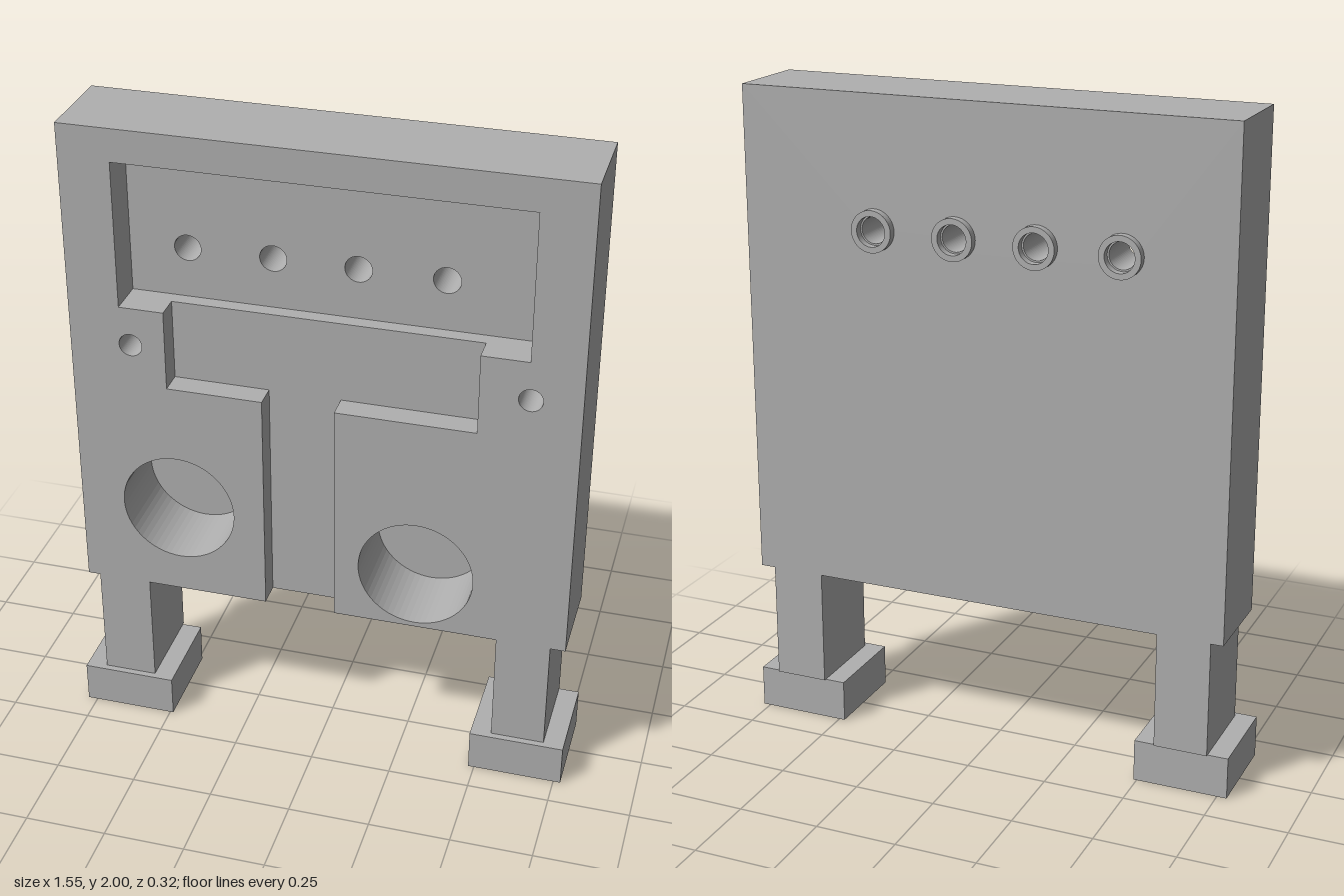
import * as THREE from 'three';

const rect = (x0, y0, x1, y1, Type = THREE.Shape) =>
  new Type([[x0, y0], [x1, y0], [x1, y1], [x0, y1]].map(([x, y]) => new THREE.Vector2(x, y)));

const circle = (x, y, r) => {
  const p = new THREE.Path();
  p.absarc(x, y, r, 0, Math.PI * 2, true);
  return p;
};

export function createModel() {
  const model = new THREE.Group();
  model.name = 'panelOnFeet';
  const grey = new THREE.MeshStandardMaterial({ color: 0xb0b0b0 });
  grey.name = 'plain grey';

  const add = (name, geometry) => {
    const mesh = new THREE.Mesh(geometry, grey);
    mesh.name = name;
    model.add(mesh);
    return mesh;
  };
  // Extrude a front-facing shape with holes between two depths
  const slab = (name, shape, holes, z0, z1) => {
    shape.holes.push(...holes);
    const g = new THREE.ExtrudeGeometry(shape, { depth: z1 - z0, bevelEnabled: false, curveSegments: 32 });
    return add(name, g.translate(0, 0, z0));
  };

  const W = 0.755, B = 0.49, T = 2;
  const portX = [-0.425, -0.17, 0.08, 0.335], portY = 1.605;
  const bores = () => [circle(-0.445, 0.785, 0.175), circle(0.292, 0.68, 0.175)];
  const pins = () => [circle(-0.57, 1.33, 0.035), circle(0.607, 1.33, 0.035)];
  const ports = () => portX.map(x => circle(x, portY, 0.04));

  // Front layer: window, wide step and channel open at the bottom edge
  const face = new THREE.Shape([
    [-W, B], [-0.175, B], [-0.175, 1.2], [-0.465, 1.2], [-0.465, 1.45], [-0.6, 1.45],
    [-0.6, 1.9], [0.6, 1.9], [0.6, 1.45], [0.46, 1.45], [0.46, 1.2], [0.042, 1.2],
    [0.042, B], [W, B], [W, T], [-W, T],
  ].map(([x, y]) => new THREE.Vector2(x, y)));
  slab('bodyFrontLayer', face, [...bores(), ...pins()], 0.065, 0.14);

  // Second layer: only the window goes deeper
  slab('bodyWindowLayer', rect(-W, B, W, T),
    [rect(-0.6, 1.45, 0.6, 1.9, THREE.Path), ...bores(), ...pins()], 0.02, 0.065);

  // Core and back: the ports run right through, the large bores stop short
  slab('bodyCore', rect(-W, B, W, T), [...bores(), ...ports()], -0.1, 0.02);
  slab('bodyBack', rect(-W, B, W, T), ports(), -0.14, -0.1);

  // Raised rings around the ports on the back
  for (const x of portX) {
    const ring = new THREE.Shape();
    ring.absarc(x, portY, 0.063, 0, Math.PI * 2, false);
    slab('portRing', ring, [circle(x, portY, 0.045)], -0.165, -0.14);
  }

  // Legs, and feet with a round socket underneath
  for (const x of [-0.635, 0.627]) {
    const leg = add('leg', new THREE.BoxGeometry(0.164, 0.36, 0.28));
    leg.position.set(x, 0.31, 0);

    const sole = rect(-0.145, -0.146, 0.145, 0.146);
    sole.holes.push(circle(0, 0, 0.07));
    const g = new THREE.ExtrudeGeometry(sole, { depth: 0.13, bevelEnabled: false, curveSegments: 32 });
    const foot = add('foot', g.rotateX(-Math.PI / 2));
    foot.position.set(x, 0, 0.014);
  }
  return model;
}
